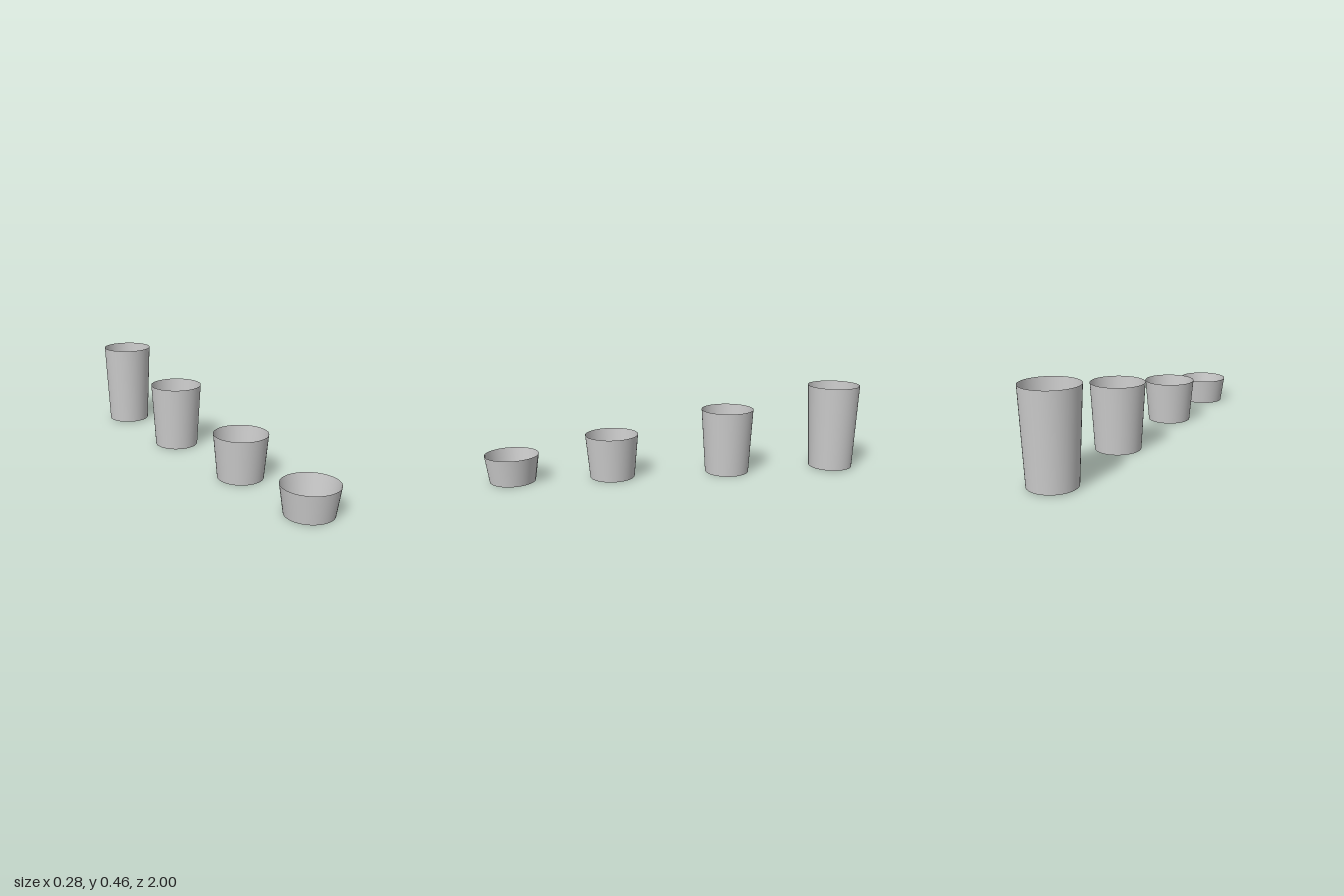
import * as THREE from 'three';

const TOP_RADIUS = 0.138;
const BASE_RADIUS = 0.117;
const SEGMENTS = 48;

// Shortest cup at the front, tallest at the back
const CUPS = [
  { name: 'shortCup', z: 0.862, bottom: 0, top: 0.142 },
  { name: 'mediumCup', z: 0.345, bottom: 0, top: 0.228 },
  { name: 'tallCup', z: -0.274, bottom: 0, top: 0.342 },
  { name: 'tallestCup', z: -0.862, bottom: 0.005, top: 0.456 },
];

// Open tapered cup: thin wall and flat base
function makeCup({ name, z, bottom, top }, material) {
  const cup = new THREE.Group();
  cup.name = name;
  cup.position.set(0, bottom, z);
  const height = top - bottom;

  const wall = new THREE.Mesh(
    new THREE.CylinderGeometry(TOP_RADIUS, BASE_RADIUS, height, SEGMENTS, 1, true), material);
  wall.name = 'wall';
  wall.position.y = height / 2;

  // Starts at the same angle as the wall so the edges meet
  const base = new THREE.Mesh(
    new THREE.CircleGeometry(BASE_RADIUS, SEGMENTS).rotateX(Math.PI / 2), material);
  base.name = 'base';

  cup.add(wall, base);
  return cup;
}

export function createModel() {
  const model = new THREE.Group();
  model.name = 'cupSet';
  const material = new THREE.MeshStandardMaterial({ color: 0xcccccc, side: THREE.DoubleSide });
  for (const spec of CUPS) model.add(makeCup(spec, material));
  return model;
}
